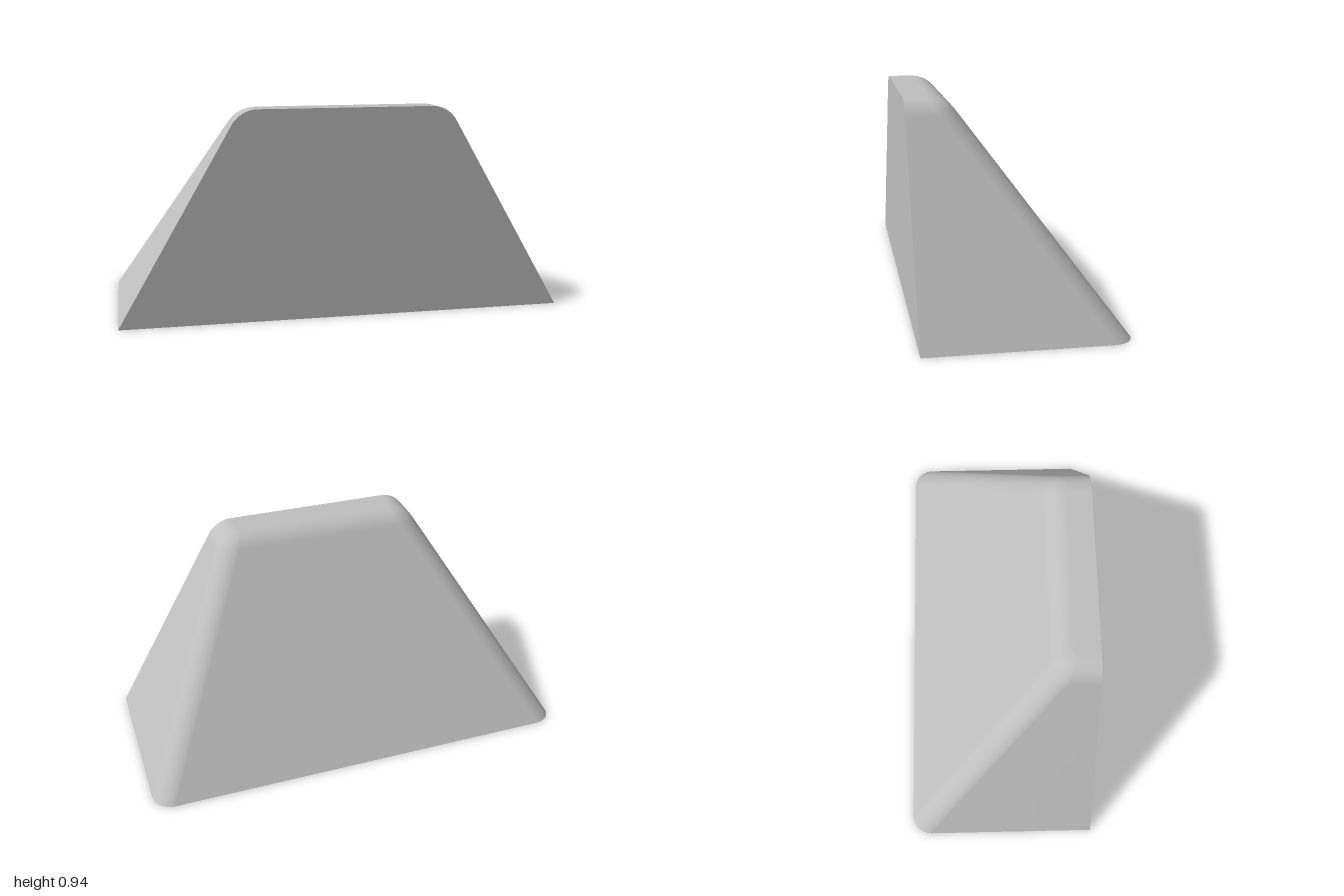
import * as THREE from 'three';
import { toCreasedNormals } from 'three/addons/utils/BufferGeometryUtils.js';

const H = 0.935, FRONT = 0.435, FILLET = 0.13, CORNER = 0.09;

// Inset of a sloped wall at height y, rolling over into the flat top
function inset(y, slope) {
  const n = Math.hypot(1, slope), yc = H - FILLET;
  const yt = yc + FILLET * slope / n;
  if (y <= yt) return slope * y;
  return slope * yt + FILLET / n - Math.sqrt(Math.max(0, FILLET ** 2 - (y - yc) ** 2));
}
const halfWidth = (y) => 1 - inset(y, 0.577);
const backZ = (y) => -0.435 + inset(y, 0.736);

// Horizontal section: square front corners, rounded back corners
function section(w, front, back, r, steps = 10) {
  const pts = [new THREE.Vector2(w, front)];
  for (const side of [1, -1]) {
    for (let k = 0; k <= steps; k++) {
      const a = (side > 0 ? k : steps - k) / steps * Math.PI / 2;
      pts.push(new THREE.Vector2(side * (w - r + r * Math.cos(a)), back + r - r * Math.sin(a)));
    }
  }
  pts.push(new THREE.Vector2(-w, front));
  return pts;
}

// Skin stacked sections, facing outward or inward
function loft(rings, inward = false) {
  const pos = [], index = [], n = rings[0].pts.length;
  for (const { y, pts } of rings) for (const p of pts) pos.push(p.x, y, p.y);
  for (let j = 0; j < rings.length - 1; j++) {
    for (let i = 0; i < n - 1; i++) {
      const a = j * n + i, b = a + 1, c = a + n, d = c + 1;
      if (inward) index.push(a, c, b, b, c, d);
      else index.push(a, b, c, b, d, c);
    }
  }
  const geo = new THREE.BufferGeometry();
  geo.setAttribute('position', new THREE.Float32BufferAttribute(pos, 3));
  geo.setIndex(index);
  geo.computeVertexNormals();
  return geo;
}

export function createModel() {
  const group = new THREE.Group();
  const grey = new THREE.MeshStandardMaterial({ color: 0xbfbfbf });
  grey.name = 'light grey';
  const add = (name, geo) => {
    const mesh = new THREE.Mesh(geo, grey);
    mesh.name = name;
    group.add(mesh);
    return mesh;
  };

  // Heights: straight walls, then closer steps round the top fillet
  const heights = [0, 0.2, 0.4, 0.6, 0.8, 0.86];
  for (let k = 0; k <= 10; k++) {
    heights.push(H - FILLET + FILLET * Math.sin(Math.PI / 6 + (k / 10) * Math.PI / 3));
  }

  // Outer shell: sides, sloped back and rounded top, closing at the front middle
  const rings = heights.map((y) => {
    const t = Math.max(0, (y - 0.87) / (H - 0.87));
    const r = 0.02 + (CORNER - 0.02) * Math.sqrt(Math.max(0, 1 - t * t));
    return { y, pts: section(halfWidth(y), FRONT, backZ(y), r) };
  });
  const top = rings[rings.length - 1];
  rings.push({ y: H, pts: top.pts.map(() => new THREE.Vector2(0, FRONT)) });
  add('outerShell', loft(rings));

  // Flat front panel
  const outline = [
    ...heights.map((y) => new THREE.Vector2(halfWidth(y), y)),
    ...heights.slice().reverse().map((y) => new THREE.Vector2(-halfWidth(y), y)),
  ];
  add('frontPanel', new THREE.ShapeGeometry(new THREE.Shape(outline))).position.z = FRONT;

  // Shallow tapered recess in the underside
  const depth = 0.245;
  const mouth = section(0.963, 0.4, -0.4, 0.06);
  const ceiling = section(0.745, 0.4, -0.19, 0.04);
  const closed = (pts) => [...pts, pts[0]];
  const walls = loft([{ y: 0, pts: closed(mouth) }, { y: depth, pts: closed(ceiling) }], true);
  add('recessWalls', toCreasedNormals(walls, 0.6));
  add('recessCeiling', new THREE.ShapeGeometry(new THREE.Shape(ceiling)).rotateX(Math.PI / 2))
    .position.y = depth;

  // Bottom rim around the recess
  const rim = new THREE.Shape(rings[0].pts);
  rim.holes.push(new THREE.Path(mouth));
  add('bottomRim', new THREE.ShapeGeometry(rim).rotateX(Math.PI / 2));

  return group;
}
